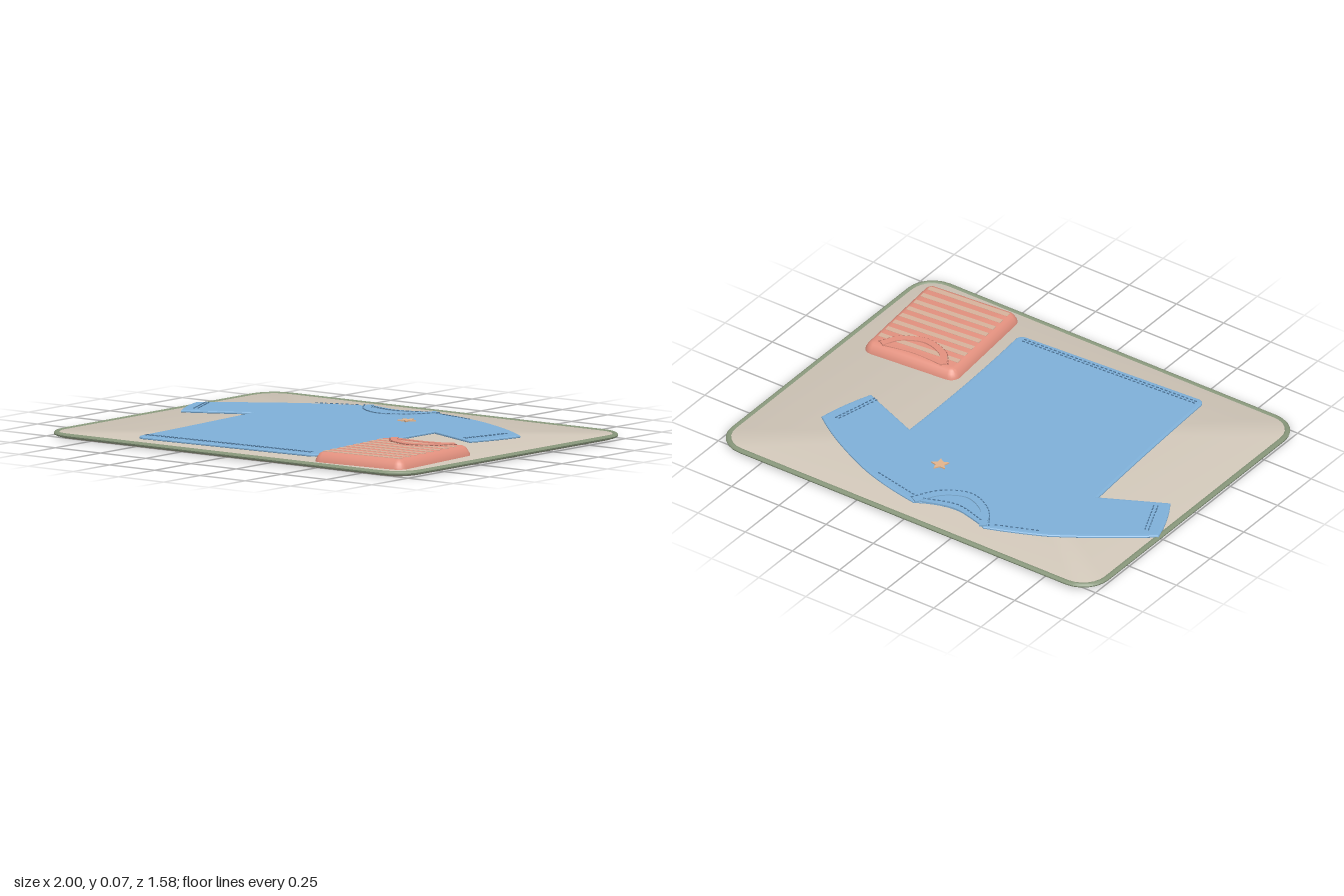
import * as THREE from 'three';
import { mergeGeometries, toCreasedNormals } from 'three/addons/utils/BufferGeometryUtils.js';

const mat = (name, color) => {
  const m = new THREE.MeshStandardMaterial({ color });
  m.name = name;
  return m;
};

// Plan coordinates are [x, z]; shapes are drawn in (x, -z) and laid flat.
const plan = (pts) => pts.map(([x, z]) => new THREE.Vector2(x, -z));

function flat(shape, y, depth, bevel = 0) {
  const g = new THREE.ExtrudeGeometry(shape, {
    depth, curveSegments: 10, bevelEnabled: bevel > 0,
    bevelThickness: 0.004, bevelSize: bevel, bevelOffset: -bevel, bevelSegments: 2,
  });
  return g.rotateX(-Math.PI / 2).translate(0, y, 0);
}

// Rounded rectangle lofted through [inset, y] levels, bottom to top
function loft(w, d, r, levels, capped = true) {
  const n = 6, pos = [], idx = [], count = 4 * (n + 1);
  for (const [inset, y] of levels) {
    const rad = Math.max(r - inset, 0.01);
    for (let q = 0; q < 4; q++) {
      const sx = q === 0 || q === 3 ? 1 : -1, sz = q < 2 ? 1 : -1;
      for (let i = 0; i <= n; i++) {
        const a = (q + i / n) * Math.PI / 2;
        pos.push(sx * (w / 2 - inset - rad) + rad * Math.cos(a), y,
          sz * (d / 2 - inset - rad) + rad * Math.sin(a));
      }
    }
  }
  for (let l = 0; l < levels.length - 1; l++) {
    for (let i = 0; i < count; i++) {
      const a = l * count + i, b = l * count + (i + 1) % count;
      idx.push(a, a + count, b + count, a, b + count, b);
    }
  }
  if (capped) {
    const c = pos.length / 3, top = (levels.length - 1) * count;
    pos.push(0, levels[0][1], 0, 0, levels[levels.length - 1][1], 0);
    for (let i = 0; i < count; i++) {
      const j = (i + 1) % count;
      idx.push(c, i, j, c + 1, top + j, top + i);
    }
  }
  const g = new THREE.BufferGeometry();
  g.setAttribute('position', new THREE.Float32BufferAttribute(pos, 3));
  g.setIndex(idx);
  g.computeVertexNormals();
  return toCreasedNormals(g, 0.7);
}

// Flat band of constant width along a smooth path
function band(path, width, y, h) {
  const curve = new THREE.SplineCurve(plan(path)), left = [], right = [];
  for (let i = 0; i <= 24; i++) {
    const p = curve.getPoint(i / 24), t = curve.getTangent(i / 24);
    const side = new THREE.Vector2(-t.y, t.x).multiplyScalar(width / 2);
    left.push(p.clone().add(side));
    right.unshift(p.clone().sub(side));
  }
  return flat(new THREE.Shape([...left, ...right]), y, h);
}

// Row of small dashes along a smooth path
function stitches(path, y, step = 0.022) {
  const curve = new THREE.SplineCurve(plan(path));
  const n = Math.round(curve.getLength() / step), parts = [];
  for (let i = 0; i <= n; i++) {
    const p = curve.getPointAt(i / n), t = curve.getTangentAt(i / n);
    parts.push(new THREE.BoxGeometry(step * 0.55, 0.003, 0.005)
      .rotateY(Math.atan2(t.y, t.x)).translate(p.x, y, -p.y));
  }
  return mergeGeometries(parts);
}

export function createModel() {
  const root = new THREE.Group();
  const beige = mat('beige mat', 0xd0c6b8), sage = mat('sage rim', 0x87967a);
  const blue = mat('blue cloth', 0x7fb0d8), darkBlue = mat('blue stitching', 0x50789c);
  const coral = mat('coral cloth', 0xe3917f), tan = mat('tan stripe', 0xd6b29b);
  const rust = mat('coral stitching', 0xa8695c), sand = mat('sand star', 0xe2b48c);
  const add = (parent, name, geo, material) => {
    const m = new THREE.Mesh(geo, material);
    m.name = name;
    parent.add(m);
    return m;
  };

  // Mat with a raised piped rim
  add(root, 'mat', loft(1.99, 1.565, 0.13, [[0.025, 0], [0.008, 0.008], [0.008, 0.016], [0.02, 0.021]]), beige);
  add(root, 'matRim', loft(2, 1.575, 0.135,
    [[0.012, 0.006], [0.002, 0.01], [0, 0.016], [0.005, 0.023], [0.013, 0.026], [0.02, 0.024], [0.025, 0.019]], false), sage);

  // Spread shirt
  const shirt = new THREE.Group();
  shirt.name = 'spreadShirt';
  root.add(shirt);
  const outline = new THREE.Shape();
  outline.moveTo(-0.34, 0.66);
  outline.quadraticCurveTo(-0.16, 0.56, 0.02, 0.675);
  outline.quadraticCurveTo(0.27, 0.635, 0.43, 0.55);
  outline.quadraticCurveTo(0.6, 0.47, 0.72, 0.375);
  outline.quadraticCurveTo(0.7, 0.25, 0.645, 0.115);
  outline.lineTo(0.355, 0.235);
  outline.quadraticCurveTo(0.35, -0.2, 0.385, -0.6);
  outline.quadraticCurveTo(0.38, -0.625, 0.355, -0.63);
  outline.lineTo(-0.53, -0.68);
  outline.quadraticCurveTo(-0.555, -0.675, -0.56, -0.65);
  outline.quadraticCurveTo(-0.58, -0.2, -0.61, 0.185);
  outline.lineTo(-0.89, 0.04);
  outline.quadraticCurveTo(-0.96, 0.15, -0.995, 0.275);
  outline.quadraticCurveTo(-0.8, 0.43, -0.6, 0.55);
  outline.quadraticCurveTo(-0.48, 0.61, -0.34, 0.66);
  add(shirt, 'shirtBody', flat(outline, 0.023, 0.005, 0.012), blue);

  const neck = [[-0.335, -0.655], [-0.27, -0.555], [-0.155, -0.505], [-0.045, -0.56], [0.02, -0.67]];
  add(shirt, 'frontCollar', band(neck, 0.032, 0.03, 0.007), blue);
  add(shirt, 'backCollar', band([[-0.32, -0.64], [-0.155, -0.605], [0.01, -0.65]], 0.025, 0.028, 0.007), blue);
  const seams = {
    collarStitch: [[-0.355, -0.64], [-0.28, -0.54], [-0.155, -0.485], [-0.03, -0.545], [0.04, -0.655]],
    backNeckStitch: [[-0.3, -0.625], [-0.155, -0.59], [-0.01, -0.635]],
    hemStitchUpper: [[-0.53, 0.635], [0.34, 0.59]],
    hemStitchLower: [[-0.53, 0.65], [0.34, 0.605]],
    rightCuffStitch: [[-0.935, -0.265], [-0.865, -0.1]],
    rightCuffStitchInner: [[-0.92, -0.27], [-0.85, -0.11]],
    leftCuffStitch: [[0.66, -0.35], [0.61, -0.14]],
    leftCuffStitchInner: [[0.645, -0.345], [0.595, -0.145]],
    rightShoulderStitch: [[-0.55, -0.55], [-0.38, -0.62]],
    leftShoulderStitch: [[0.05, -0.635], [0.26, -0.59]],
  };
  for (const [name, path] of Object.entries(seams)) add(shirt, name, stitches(path, 0.0365), darkBlue);

  // Small five-pointed star on the chest
  const star = [];
  for (let i = 0; i < 10; i++) {
    const a = i * Math.PI / 5 + 0.1, r = i % 2 ? 0.02 : 0.042;
    star.push([0.085 + r * Math.sin(a), -0.385 - r * Math.cos(a)]);
  }
  add(shirt, 'chestStar', flat(new THREE.Shape(plan(star)), 0.035, 0.006), sand);

  // Folded striped shirt
  const folded = new THREE.Group();
  folded.name = 'foldedShirt';
  folded.position.set(0.667, 0, 0.44);
  folded.rotation.y = 0.08;
  root.add(folded);
  add(folded, 'foldedBody', loft(0.47, 0.56, 0.045,
    [[0, 0.018], [0.002, 0.03], [0.01, 0.045], [0.02, 0.057], [0.03, 0.063], [0.042, 0.065]]), coral);
  for (let i = 0; i < 8; i++) {
    add(folded, 'stripe', new THREE.BoxGeometry(0.4, 0.002, 0.027).translate(0, 0.065, -0.185 + i * 0.059), tan);
  }
  add(folded, 'foldedFrontCollar', band(
    [[-0.155, -0.245], [-0.105, -0.17], [0, -0.13], [0.105, -0.17], [0.155, -0.245]], 0.03, 0.062, 0.009), coral);
  add(folded, 'foldedBackCollar', band([[-0.15, -0.24], [0, -0.225], [0.15, -0.24]], 0.022, 0.06, 0.008), coral);
  add(folded, 'foldedCollarStitch', stitches(
    [[-0.17, -0.23], [-0.115, -0.155], [0, -0.112], [0.115, -0.155], [0.17, -0.23]], 0.067), rust);
  return root;
}
